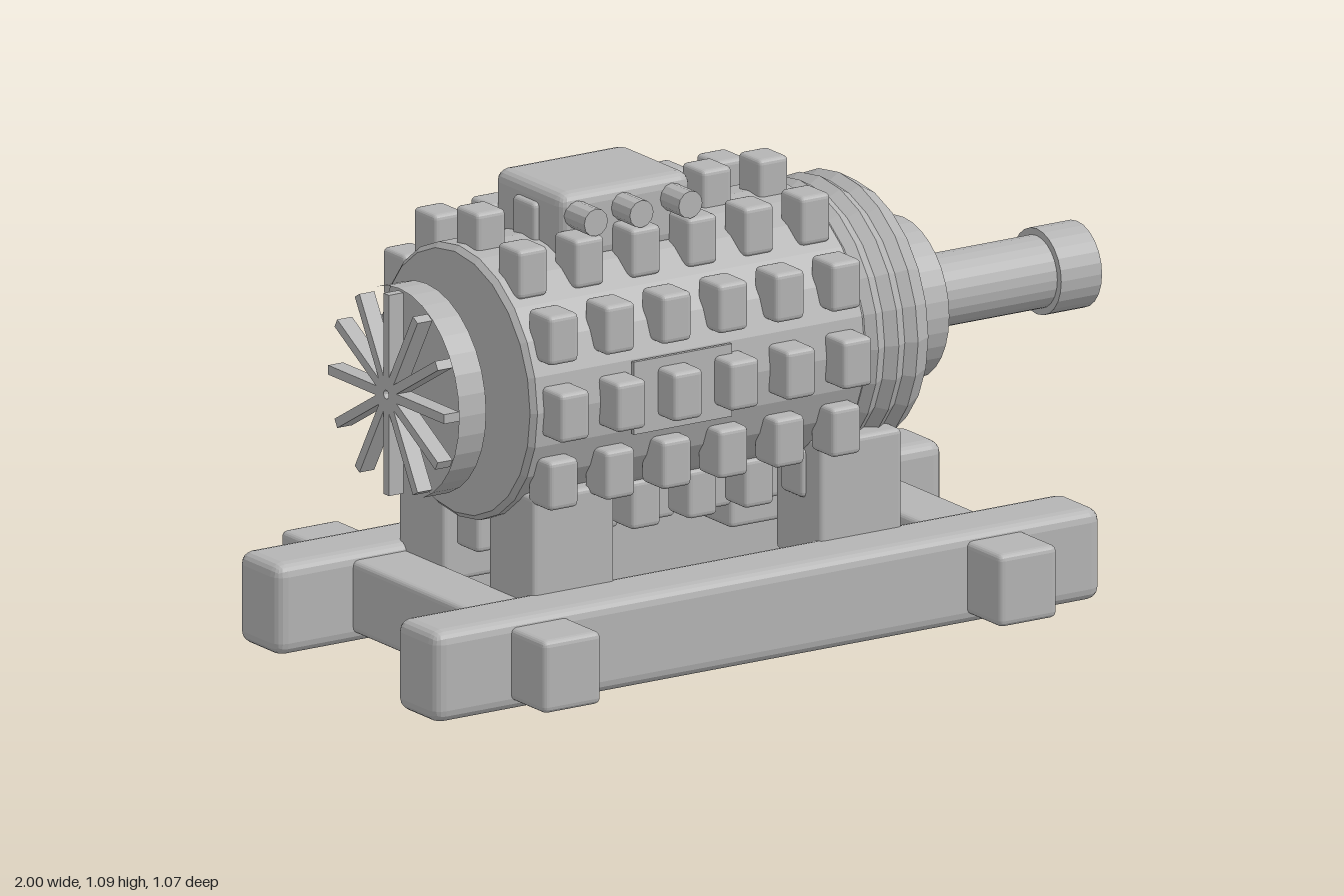
import * as THREE from 'three';
import { RoundedBoxGeometry } from 'three/addons/geometries/RoundedBoxGeometry.js';

const AXIS_Y = 0.655;
const metal = new THREE.MeshStandardMaterial({ color: 0xb4b4b4, flatShading: true });
metal.name = 'bare metal';

export function createModel() {
  const model = new THREE.Group();
  model.name = 'motor on skid';

  const add = (name, geometry, x, y, z, parent = model) => {
    const mesh = new THREE.Mesh(geometry, metal);
    mesh.name = name;
    mesh.position.set(x, y, z);
    parent.add(mesh);
    return mesh;
  };
  const box = (w, h, d, bevel) => new RoundedBoxGeometry(w, h, d, 2, bevel);
  // Cylinder lying along x between two ends
  const rod = (name, x0, x1, r, sides, open = false) => {
    const g = new THREE.CylinderGeometry(r, r, x1 - x0, sides, 1, open).rotateZ(-Math.PI / 2);
    return add(name, g, (x0 + x1) / 2, AXIS_Y, 0);
  };

  // Skid: two long rails and two cross beams
  for (const s of [-1, 1]) add('skidRail', box(1.8, 0.215, 0.165, 0.03), -0.1, 0.1075, s * 0.32);
  for (const x of [-0.717, 0.513]) add('crossBeam', box(0.157, 0.17, 1.07, 0.015), x, 0.11, 0);

  // Four legs between the skid and the housing
  for (const x of [-0.54, 0.235]) {
    for (const s of [-1, 1]) add('leg', box(0.222, 0.29, 0.183, 0.012), x, 0.3, s * 0.182);
  }

  // Housing with chamfered ends
  const profile = [[0, -0.68], [0.305, -0.68], [0.317, -0.668], [0.317, 0.215], [0.305, 0.227], [0, 0.227]];
  const housing = new THREE.LatheGeometry(profile.map(([r, y]) => new THREE.Vector2(r, y)), 24);
  add('housing', housing.rotateZ(-Math.PI / 2), 0, AXIS_Y, 0);

  // Cooling knobs, twelve rows around the housing
  const knob = box(0.08, 0.115, 0.09, 0.012);
  const knobs = new THREE.Group();
  knobs.name = 'coolingKnobs';
  model.add(knobs);
  for (let i = 0; i < 12; i++) {
    const a = i * Math.PI / 6;
    for (let c = 0; c < 6; c++) {
      add('coolingKnob', knob, -0.61 + c * 0.1525, AXIS_Y + 0.34 * Math.sin(a), 0.34 * Math.cos(a), knobs);
    }
  }

  // Three end rings
  for (const x of [0.25, 0.305, 0.357]) {
    add('endRing', new THREE.TorusGeometry(0.268, 0.052, 6, 24).rotateY(Math.PI / 2), x, AXIS_Y, 0);
  }

  // Output shaft
  rod('shaftCollar', 0.22, 0.53, 0.187, 32);
  rod('shaft', 0.52, 0.9, 0.084, 24);
  rod('shaftTip', 0.89, 1, 0.1, 24);

  // Rear fan: open shroud and radial blades
  rod('fanShroud', -0.83, -0.757, 0.243, 32, true);
  const fan = new THREE.Group();
  fan.name = 'fanBlades';
  fan.position.set(-0.845, AXIS_Y, 0);
  model.add(fan);
  const blade = new THREE.BoxGeometry(0.04, 0.225, 0.022).translate(0, 0.1225, 0);
  for (let i = 0; i < 12; i++) add('fanBlade', blade, 0, 0, 0, fan).rotation.x = i * Math.PI / 6;

  // Terminal box with three cable glands
  add('terminalBox', box(0.355, 0.165, 0.28, 0.03), -0.305, 1.008, -0.003);
  for (const x of [-0.44, -0.317, -0.185]) {
    add('cableGland', new THREE.CylinderGeometry(0.032, 0.032, 0.09, 12).rotateX(Math.PI / 2), x, 1.04, 0.167);
  }

  // Rating plate on the front
  add('ratingPlate', new THREE.BoxGeometry(0.265, 0.17, 0.009), -0.278, 0.65, 0.316);

  return model;
}
